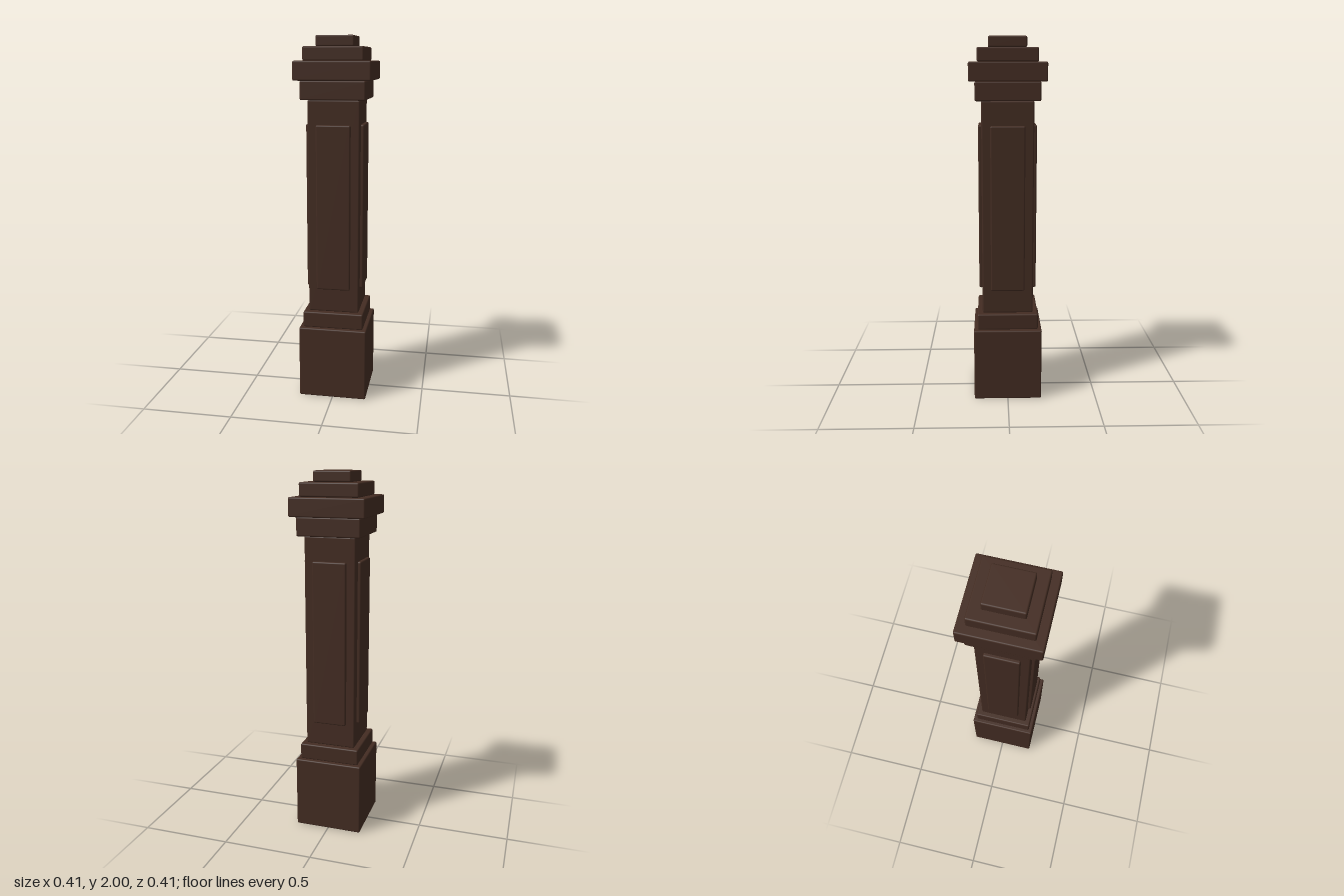
import * as THREE from 'three';
import { RoundedBoxGeometry } from 'three/addons/geometries/RoundedBoxGeometry.js';

export function createModel() {
  const group = new THREE.Group();
  group.name = 'newelPost';
  const darkWood = new THREE.MeshStandardMaterial({ color: 0x432c22 });
  darkWood.name = 'darkWood';

  // Softly rounded block standing between two heights
  function block(name, width, depth, bottom, top, parent = group) {
    const geometry = new RoundedBoxGeometry(width, top - bottom, depth, 3, 0.008);
    const mesh = new THREE.Mesh(geometry, darkWood);
    mesh.name = name;
    mesh.position.y = (bottom + top) / 2;
    parent.add(mesh);
    return mesh;
  }

  // Stacked square tiers: name, width, bottom, top
  const tiers = [
    ['base', 0.378, 0, 0.41],
    ['baseStep', 0.336, 0.41, 0.5],
    ['shaft', 0.28, 0.5, 1.67],
    ['collar', 0.346, 1.67, 1.77],
    ['cap', 0.408, 1.77, 1.87],
    ['capStep', 0.32, 1.87, 1.943],
    ['finial', 0.204, 1.943, 2],
  ];
  for (const [name, width, bottom, top] of tiers) block(name, width, width, bottom, top);

  // One raised panel on each face of the shaft
  ['front', 'left', 'back', 'right'].forEach((side, i) => {
    const face = new THREE.Group();
    face.name = side + 'Face';
    face.rotation.y = i * Math.PI / 2;
    const panel = block(side + 'Panel', 0.186, 0.04, 0.633, 1.54, face);
    panel.position.z = 0.138;
    group.add(face);
  });

  return group;
}
